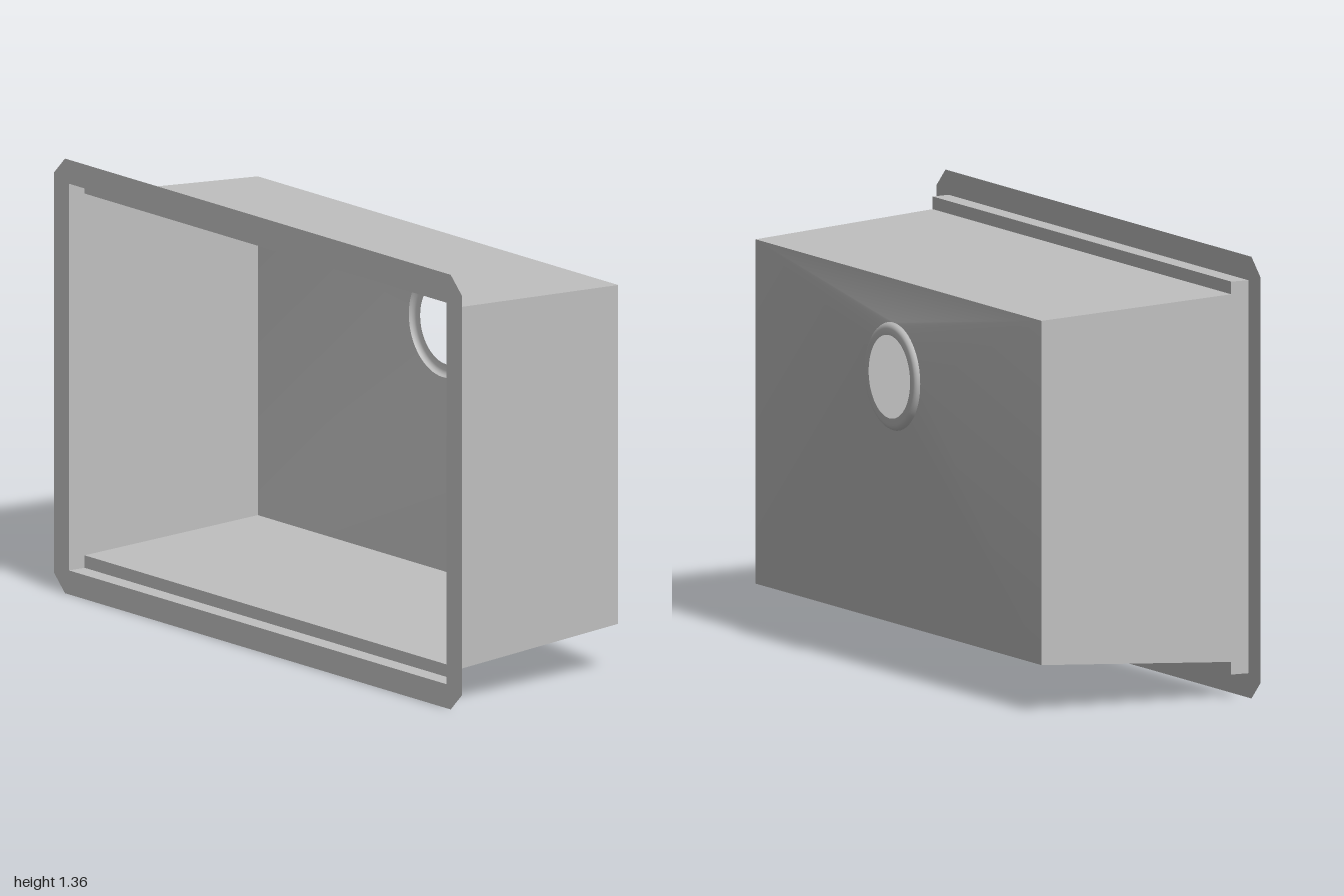
import * as THREE from 'three';

const steel = new THREE.MeshStandardMaterial({ color: 0xc0c0c0, side: THREE.DoubleSide });
steel.name = 'steel grey';

const MID_Y = 0.68;   // height of the basin centre
const DRAIN_Y = 0.915; // height of the drain centre
const CORNERS = [[1, 1], [-1, 1], [-1, -1], [1, -1]];

function addMesh(group, name, geometry) {
  const mesh = new THREE.Mesh(geometry, steel);
  mesh.name = name;
  group.add(mesh);
  return mesh;
}

// Rectangular loop of four corners at depth z
const loop = ([hx, hy, z]) => CORNERS.map(([sx, sy]) => [sx * hx, MID_Y + sy * hy, z]);

function toGeometry(points, index) {
  const geo = new THREE.BufferGeometry();
  geo.setAttribute('position', new THREE.Float32BufferAttribute(points.flat(), 3));
  if (index) geo.setIndex(index);
  geo.computeVertexNormals();
  return geo;
}

// Flat flange with clipped corners and a rectangular opening
function rimGeometry() {
  const w = 1, h = 0.68, c = 0.055;
  const shape = new THREE.Shape([
    [w, h - c], [w - c, h], [c - w, h], [-w, h - c],
    [-w, c - h], [c - w, -h], [w - c, -h], [w, c - h],
  ].map(([x, y]) => new THREE.Vector2(x, y)));
  shape.holes.push(new THREE.Path(
    CORNERS.map(([sx, sy]) => new THREE.Vector2(sx * 0.925, sy * 0.605)).reverse()));
  return new THREE.ShapeGeometry(shape).translate(0, MID_Y, 0.365);
}

// Flat-sided band between two rectangular loops
function bandGeometry(front, back, sides) {
  const a = loop(front), b = loop(back), tris = [];
  for (const i of sides) {
    const j = (i + 1) % 4;
    tris.push(a[i], b[i], a[j], a[j], b[i], b[j]);
  }
  return toGeometry(tris);
}

// Shallow funnel from the rectangular edge to the round drain
function floorGeometry(edge, radius, z) {
  const quarter = 16, n = quarter * 4;
  const points = loop(edge), index = [];
  for (let j = 0; j < n; j++) {
    const t = (j / n) * Math.PI * 2;
    points.push([radius * Math.cos(t), DRAIN_Y + radius * Math.sin(t), z]);
  }
  for (let k = 0; k < 4; k++) {
    for (let j = k * quarter; j < (k + 1) * quarter; j++) {
      index.push(k, 4 + j, 4 + ((j + 1) % n));
    }
    index.push((k + 1) % 4, k, 4 + (((k + 1) * quarter) % n));
  }
  return toGeometry(points, index);
}

export function createModel() {
  const model = new THREE.Group();
  model.name = 'sink';

  addMesh(model, 'rim', rimGeometry());

  // Loops as half width, half height, depth
  const mouth = [0.925, 0.605, 0.365];
  const ledgeOuter = [0.922, 0.605, 0.307];
  const ledgeInner = [0.922, 0.566, 0.307];
  const bottom = [0.883, 0.53, -0.333];
  const all = [0, 1, 2, 3];
  addMesh(model, 'upperWall', bandGeometry(mouth, ledgeOuter, all));
  addMesh(model, 'ledges', bandGeometry(ledgeOuter, ledgeInner, [0, 2]));
  addMesh(model, 'basinWalls', bandGeometry(ledgeInner, bottom, all));
  addMesh(model, 'basinFloor', floorGeometry(bottom, 0.166, -0.351));

  // Rounded recess around the open drain hole
  const profile = [
    [0.128, 0.365], [0.148, 0.365], [0.156, 0.363], [0.162, 0.358], [0.166, 0.351],
  ].map(([r, d]) => new THREE.Vector2(r, d)).reverse();
  const drain = addMesh(model, 'drainRing',
    new THREE.LatheGeometry(profile, 64).rotateX(-Math.PI / 2));
  drain.position.y = DRAIN_Y;

  return model;
}
